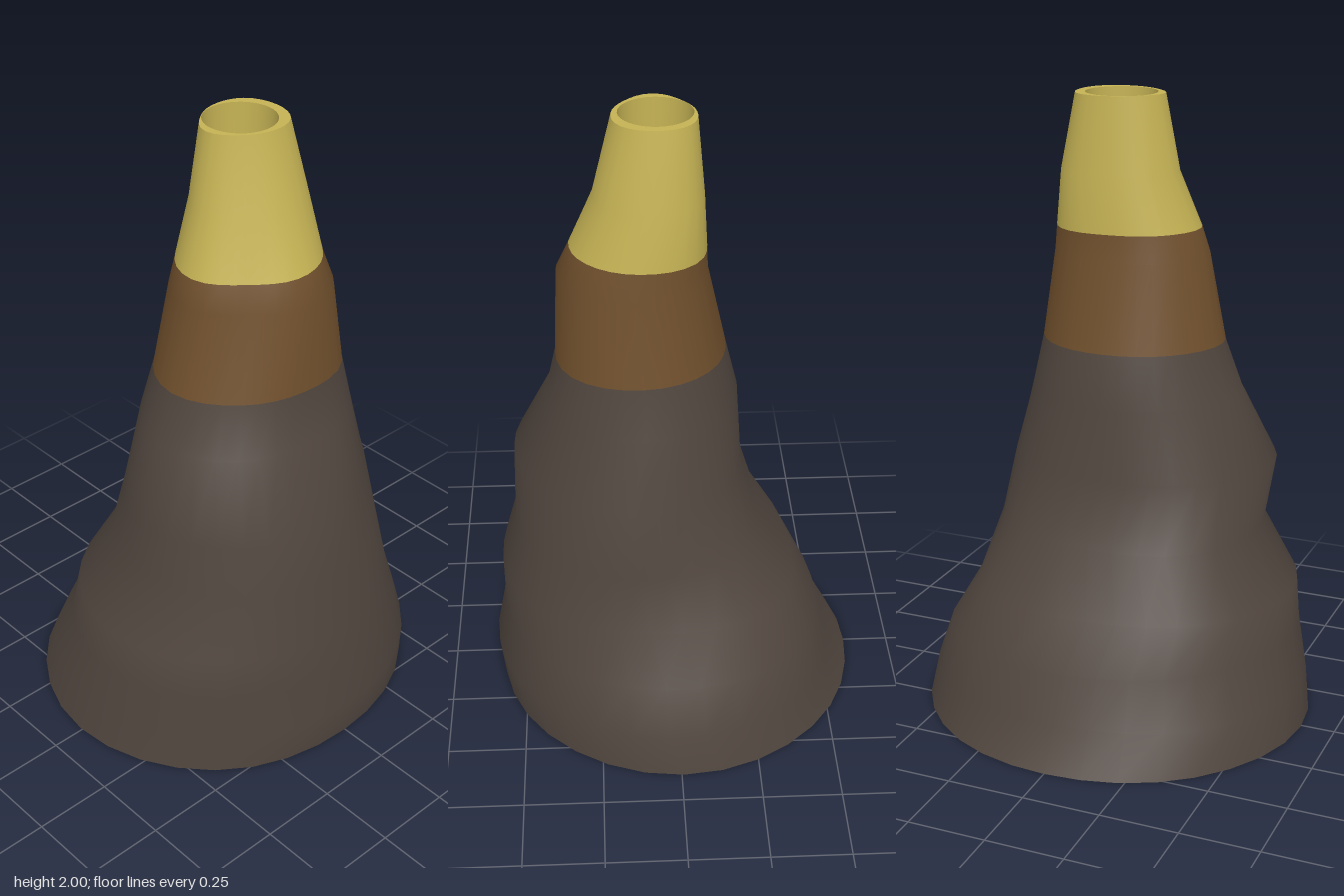
import * as THREE from 'three';

const material = (name, color) => {
  const m = new THREE.MeshStandardMaterial({ color, side: THREE.DoubleSide });
  m.name = name;
  return m;
};

// Each level: height, then its reach from the y axis in eight directions,
// turning from +x through +z, -x and -z in steps of 45 degrees.
const LEVELS = [
  [0.00, [0.64, 0.61, 0.585, 0.62, 0.64, 0.62, 0.60, 0.62]],
  [0.13, [0.615, 0.61, 0.60, 0.61, 0.62, 0.575, 0.52, 0.585]],
  [0.28, [0.555, 0.575, 0.57, 0.60, 0.585, 0.505, 0.475, 0.545]],
  [0.43, [0.46, 0.545, 0.57, 0.595, 0.565, 0.475, 0.39, 0.46]],
  [0.62, [0.425, 0.50, 0.52, 0.51, 0.44, 0.36, 0.275, 0.345]],
  [0.83, [0.39, 0.45, 0.515, 0.525, 0.47, 0.31, 0.215, 0.285]],
  [1.06, [0.325, 0.40, 0.40, 0.41, 0.365, 0.26, 0.205, 0.235]],
  [1.225, [0.285, 0.365, 0.365, 0.35, 0.31, 0.215, 0.165, 0.205]],
  [1.50, [0.245, 0.33, 0.355, 0.285, 0.255, 0.165, 0.105, 0.165]],
  [1.585, [0.23, 0.295, 0.315, 0.265, 0.23, 0.145, 0.10, 0.163]],
  [1.76, [0.205, 0.25, 0.24, 0.20, 0.165, 0.105, 0.09, 0.155]],
  [2.00, [0.155, 0.19, 0.18, 0.15, 0.125, 0.07, 0.07, 0.115]],
];
const SEGMENTS = 32;
const VENT = { x: 0.013, z: 0.05 };

// Smooth closed cross-section around the level's own centre
function ring([y, reach]) {
  const cx = (reach[0] - reach[4]) / 2;
  const cz = (reach[2] - reach[6]) / 2;
  const radii = reach.map((r, k) => {
    const a = k * Math.PI / 4;
    return r - cx * Math.cos(a) - cz * Math.sin(a);
  });
  const points = [];
  for (let j = 0; j < SEGMENTS; j++) {
    const t = j / SEGMENTS * 8, k = Math.floor(t), f = t - k;
    const [p, q, r, s] = [7, 8, 9, 10].map((o) => radii[(k + o) % 8]);
    const radius = q + 0.5 * f * (r - p + f * (2 * p - 5 * q + 4 * r - s + f * (3 * (q - r) + s - p)));
    const a = j / SEGMENTS * Math.PI * 2;
    points.push(new THREE.Vector3(cx + radius * Math.cos(a), y, cz + radius * Math.sin(a)));
  }
  return points;
}

function circle(y, radius) {
  return Array.from({ length: SEGMENTS }, (_, j) => {
    const a = j / SEGMENTS * Math.PI * 2;
    return new THREE.Vector3(VENT.x + radius * Math.cos(a), y, VENT.z + radius * Math.sin(a));
  });
}

// Skin over a stack of rings, bottom to top on the outside
function loft(rings) {
  const index = [];
  for (let i = 0; i < rings.length - 1; i++) {
    for (let j = 0; j < SEGMENTS; j++) {
      const n = (j + 1) % SEGMENTS;
      const a = i * SEGMENTS + j, b = i * SEGMENTS + n;
      const c = a + SEGMENTS, d = b + SEGMENTS;
      index.push(a, c, b, b, c, d);
    }
  }
  const geometry = new THREE.BufferGeometry().setFromPoints(rings.flat());
  geometry.setIndex(index);
  geometry.computeVertexNormals();
  return geometry;
}

export function createModel() {
  const group = new THREE.Group();
  group.name = 'ventChimney';
  const rock = material('dark rock', 0x51463f);
  const brown = material('brown mineral', 0x6f4f2c);
  const yellow = material('sulphur yellow', 0xc4b254);
  const glow = material('glowing orange', 0xd56a22);

  const add = (name, geometry, mat) => {
    const mesh = new THREE.Mesh(geometry, mat);
    mesh.name = name;
    group.add(mesh);
    return mesh;
  };

  // Lumpy open-bottomed cone in three colour bands
  const rings = LEVELS.map(ring);
  const shell = loft(rings);
  const perRow = SEGMENTS * 6;
  [[0, 7], [7, 9], [9, 11]].forEach(([from, to], m) => {
    shell.addGroup(from * perRow, (to - from) * perRow, m);
  });
  add('chimneyShell', shell, [rock, brown, yellow]);

  // Flat lip and the short throat inside it
  add('rim', loft([rings[rings.length - 1], circle(2, 0.112)]), yellow);
  add('throat', loft([circle(2, 0.112), circle(1.75, 0.108)]), yellow);

  // Glowing core hanging in the throat
  const core = add('glowingCore', new THREE.CircleGeometry(0.066, 24).rotateX(-Math.PI / 2), glow);
  core.position.set(VENT.x, 1.78, VENT.z);

  return group;
}
